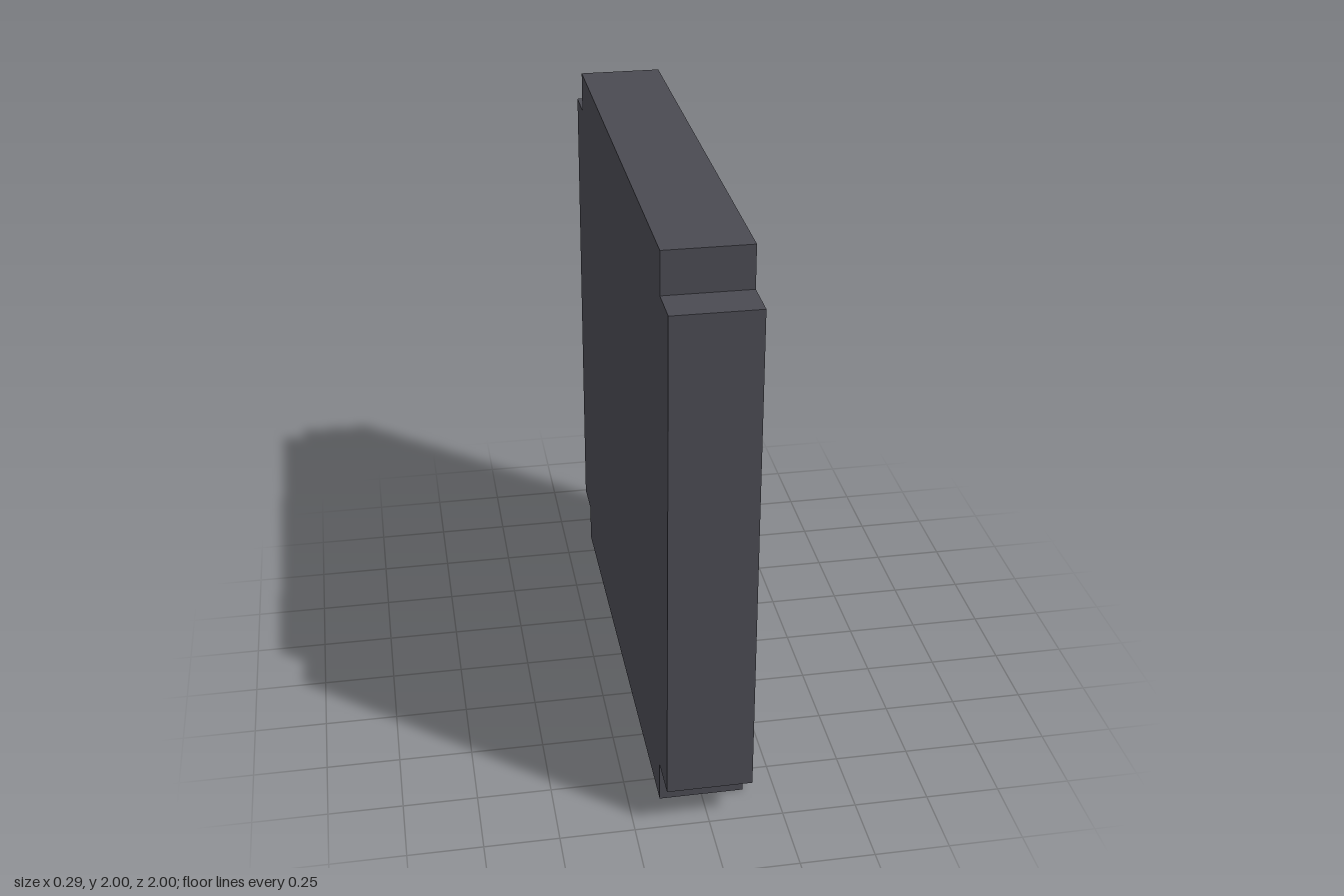
import * as THREE from 'three';

export function createModel() {
  const model = new THREE.Group();
  model.name = 'framedPanel';

  const frameGrey = new THREE.MeshStandardMaterial({ color: 0x4a4a52 });
  frameGrey.name = 'frameGrey';
  const panelDark = new THREE.MeshStandardMaterial({ color: 0x31313c });
  panelDark.name = 'panelDark';

  const half = 1, inner = 0.857, depth = 0.286;

  // Square slab with a notch cut from each corner
  const outline = new THREE.Shape([
    [-inner, -half], [inner, -half], [inner, -inner], [half, -inner],
    [half, inner], [inner, inner], [inner, half], [-inner, half],
    [-inner, inner], [-half, inner], [-half, -inner], [-inner, -inner],
  ].map(([x, y]) => new THREE.Vector2(x, y)));
  const slabGeometry = new THREE.ExtrudeGeometry(outline, { depth, bevelEnabled: false });
  slabGeometry.translate(0, 0, -depth / 2).rotateY(Math.PI / 2).translate(0, half, 0);
  const slab = new THREE.Mesh(slabGeometry, frameGrey);
  slab.name = 'notchedFrame';
  model.add(slab);

  // Dark inset face on the +x side: small bottom corners, slightly tapered top corners
  const face = new THREE.Shape();
  face.moveTo(-0.84, -0.848);
  face.lineTo(0.84, -0.848);
  face.quadraticCurveTo(0.857, -0.848, 0.857, -0.83);
  face.lineTo(0.857, 0.7);
  face.lineTo(0.848, 0.73);
  face.lineTo(0.846, 0.83);
  face.quadraticCurveTo(0.846, 0.853, 0.825, 0.853);
  face.lineTo(-0.825, 0.853);
  face.quadraticCurveTo(-0.846, 0.853, -0.846, 0.83);
  face.lineTo(-0.848, 0.73);
  face.lineTo(-0.857, 0.7);
  face.lineTo(-0.857, -0.83);
  face.quadraticCurveTo(-0.857, -0.848, -0.84, -0.848);
  const faceGeometry = new THREE.ShapeGeometry(face, 6);
  faceGeometry.rotateY(Math.PI / 2).translate(depth / 2 + 0.002, half, 0);
  const panel = new THREE.Mesh(faceGeometry, panelDark);
  panel.name = 'darkPanel';
  model.add(panel);

  return model;
}
